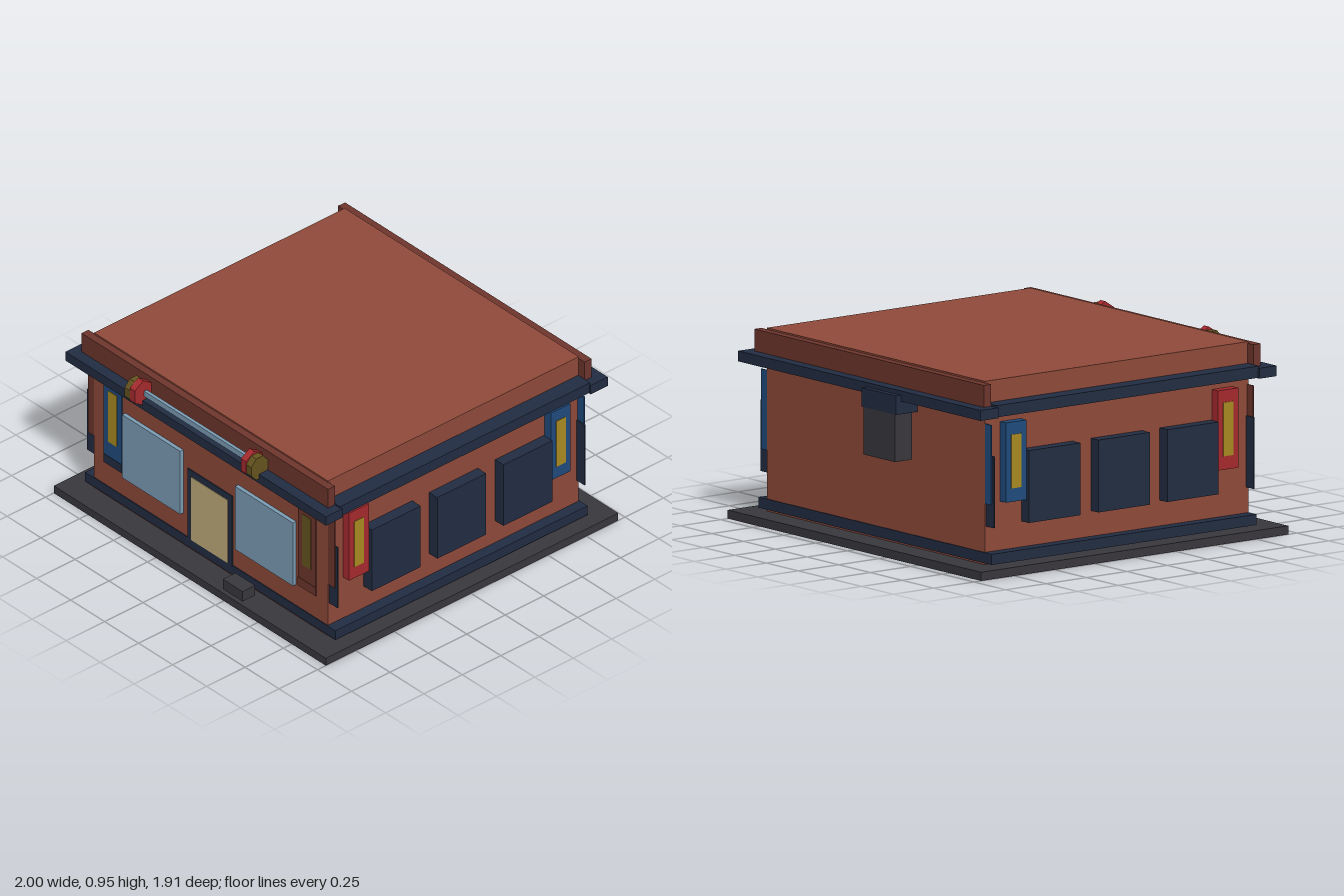
import * as THREE from 'three';

const material = (name, color) => {
  const m = new THREE.MeshStandardMaterial({ color });
  m.name = name;
  return m;
};

export function createModel() {
  const model = new THREE.Group();
  model.name = 'shopBuilding';

  const brick = material('brick', 0x8f4a3a);
  const darkBrick = material('darkBrick', 0x6e352d);
  const navy = material('navy', 0x222d42);
  const grey = material('grey', 0x39373d);
  const glass = material('paleBlue', 0x7b9db5);
  const tan = material('tan', 0xc0ac7a);
  const blue = material('blue', 0x1f4b7c);
  const gold = material('gold', 0xa98a22);
  const red = material('red', 0xa62a2e);
  const olive = material('olive', 0x66541f);

  const add = (name, geometry, mat) => {
    const mesh = new THREE.Mesh(geometry, mat);
    mesh.name = name;
    model.add(mesh);
    return mesh;
  };
  // Box given by its limits on each axis
  const box = (name, mat, x0, x1, y0, y1, z0, z1) => {
    const mesh = add(name, new THREE.BoxGeometry(Math.abs(x1 - x0), y1 - y0, z1 - z0), mat);
    mesh.position.set((x0 + x1) / 2, (y0 + y1) / 2, (z0 + z1) / 2);
    return mesh;
  };

  // Ground slab, walls and base trim
  box('groundSlab', grey, -1, 1, 0, 0.043, -0.956, 0.946);
  box('walls', brick, -0.86, 0.86, 0.043, 0.953, -0.823, 0.808);
  box('baseTrim', navy, -0.92, 0.92, 0.051, 0.104, -0.828, 0.813);

  // Cornice and parapets
  box('frontCornice', navy, -0.957, 0.957, 0.784, 0.836, 0.8, 0.907);
  box('backCornice', navy, -0.957, 0.957, 0.784, 0.836, -0.926, -0.815);
  box('frontParapet', darkBrick, -0.906, 0.906, 0.836, 0.945, 0.804, 0.848);
  box('backParapet', darkBrick, -0.906, 0.906, 0.836, 0.945, -0.865, -0.82);

  // Door
  box('doorFrame', navy, -0.167, 0.163, 0.1, 0.51, 0.8, 0.814);
  box('door', tan, -0.137, 0.132, 0.104, 0.474, 0.811, 0.817);

  // Front windows
  box('frontWindow', glass, -0.63, -0.203, 0.226, 0.597, 0.8, 0.829);
  box('frontWindow', glass, 0.2, 0.626, 0.226, 0.597, 0.8, 0.829);

  // Front banners, each with a foot and a centre stripe
  for (const [x, cloth, foot, stripe] of [[-0.716, blue, navy, gold], [0.711, darkBrick, darkBrick, olive]]) {
    box('frontBanner', cloth, x - 0.066, x + 0.066, 0.286, 0.745, 0.8, 0.814);
    box('bannerFoot', foot, x - 0.066, x + 0.066, 0.237, 0.286, 0.8, 0.816);
    box('bannerStripe', stripe, x - 0.03, x + 0.03, 0.373, 0.672, 0.81, 0.817);
  }

  // Both side walls
  for (const s of [-1, 1]) {
    box('sideCornice', navy, s * 0.85, s * 0.947, 0.787, 0.845, -0.82, 0.806);
    for (const z of [0.418, -0.008, -0.438]) {
      box('sideWindow', navy, s * 0.85, s * 0.921, 0.232, 0.591, z - 0.159, z + 0.159);
    }
    for (const [z, cloth] of [[0.647, red], [-0.665, blue]]) {
      box('sideBanner', cloth, s * 0.85, s * 0.906, 0.346, 0.742, z - 0.064, z + 0.064);
      box('bannerStripe', gold, s * 0.903, s * 0.909, 0.413, 0.68, z - 0.031, z + 0.031);
    }
    // Thin fins projecting at the corners
    box('frontCornerFin', darkBrick, s * 0.85, s * 0.907, 0.345, 0.742, 0.8, 0.807);
    box('frontCornerFinBacking', navy, s * 0.85, s * 0.92, 0.232, 0.587, 0.793, 0.8);
    box('backCornerFin', blue, s * 0.85, s * 0.907, 0.345, 0.742, -0.822, -0.815);
    box('backCornerFinBacking', navy, s * 0.85, s * 0.92, 0.232, 0.587, -0.815, -0.808);
  }

  // Lamp bar above the entrance, held by faceted end pieces
  box('lampBar', glass, -0.395, 0.39, 0.855, 0.886, 0.878, 0.896);
  const disc = (name, mat, x, width, sides, ry, rz, turn, y) => {
    const g = new THREE.CylinderGeometry(1, 1, width, sides);
    g.rotateY(turn).rotateZ(Math.PI / 2).scale(1, ry, rz);
    const flat = g.toNonIndexed();
    flat.computeVertexNormals();
    add(name, flat, mat).position.set(x, y, 0.901);
  };
  for (const s of [-1, 1]) {
    disc('lampCollar', red, s * 0.409 - 0.002, 0.037, 6, 0.072, 0.064, Math.PI / 2, 0.877);
    disc('lampCap', olive, s * 0.447 - 0.002, 0.037, 8, 0.067, 0.059, Math.PI / 8, 0.871);
  }

  // Step block by the door
  box('frontBlock', grey, 0.254, 0.4, 0.077, 0.135, 0.874, 0.956);

  // Rear vent unit
  box('ventHood', navy, -0.329, -0.057, 0.72, 0.814, -0.956, -0.82);
  box('ventBody', grey, -0.318, -0.068, 0.484, 0.72, -0.954, -0.848);

  return model;
}
